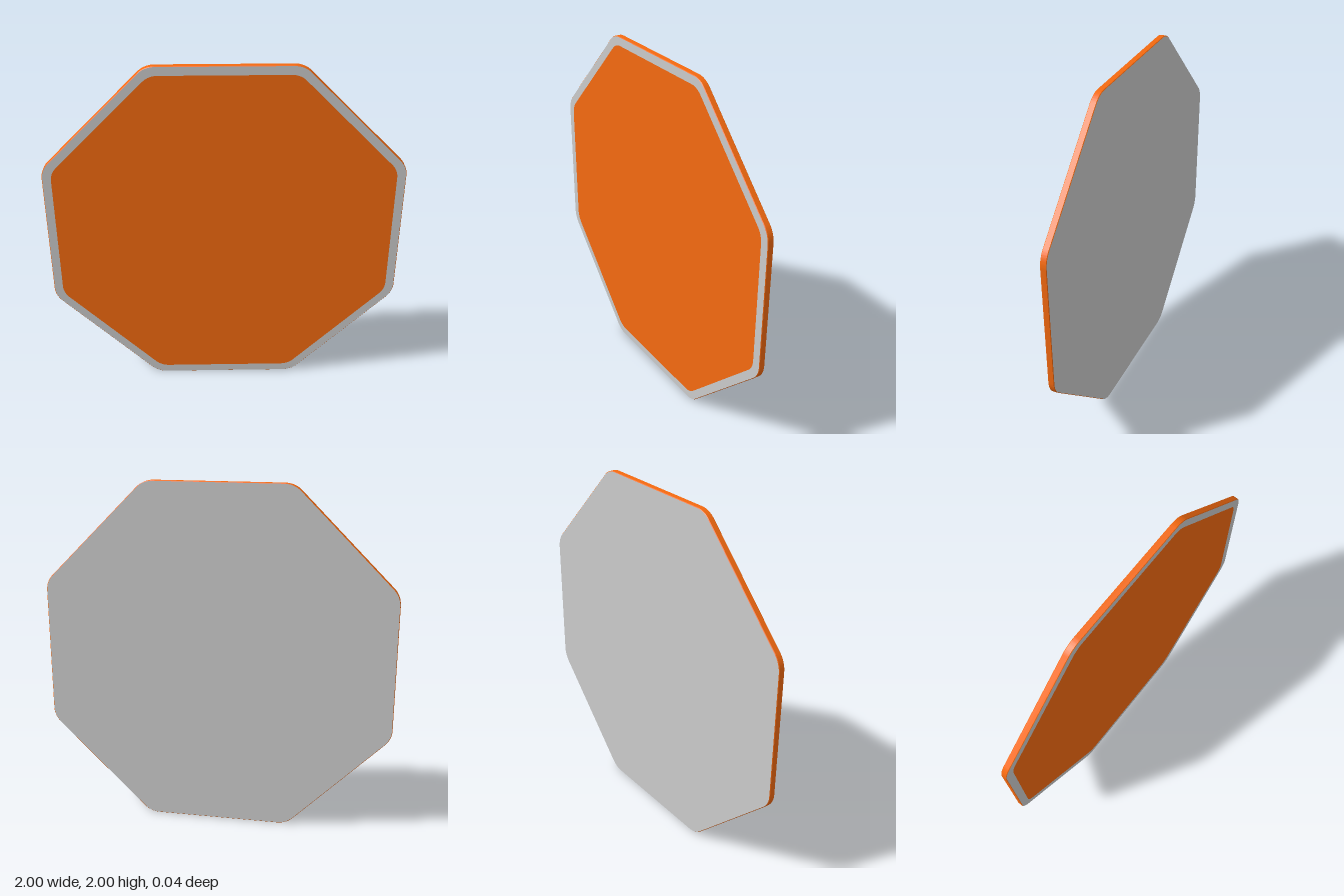
import * as THREE from 'three';
import { toCreasedNormals } from 'three/addons/utils/BufferGeometryUtils.js';

const THICKNESS = 0.035;
const BEVEL = 0.003;

// Regular octagon with flat sides up, given apothem and corner radius
function roundedOctagon(apothem, radius) {
  const shape = new THREE.Shape();
  const centre = (apothem - radius) / Math.cos(Math.PI / 8);
  for (let i = 0; i < 8; i++) {
    const a = (i + 0.5) * Math.PI / 4;
    shape.absarc(centre * Math.cos(a), centre * Math.sin(a), radius,
      a - Math.PI / 8, a + Math.PI / 8, false);
  }
  shape.closePath();
  return shape;
}

export function createModel() {
  const group = new THREE.Group();
  group.name = 'octagonalSign';
  const grey = new THREE.MeshStandardMaterial({ color: 0xcccccc });
  const orange = new THREE.MeshStandardMaterial({ color: 0xf56a10 });

  // Plate: grey front border and back, orange edge with a fine bevel
  const plateGeometry = new THREE.ExtrudeGeometry(roundedOctagon(1, 0.13), {
    depth: THICKNESS - 2 * BEVEL,
    bevelThickness: BEVEL,
    bevelSize: BEVEL,
    bevelOffset: -BEVEL,
    bevelSegments: 1,
    curveSegments: 8,
  });
  plateGeometry.translate(0, 1, -THICKNESS / 2 + BEVEL);
  const plate = new THREE.Mesh(toCreasedNormals(plateGeometry, Math.PI / 6), [grey, orange]);
  plate.name = 'plate';
  group.add(plate);

  // Orange field laid on the front, leaving the grey border showing
  const field = new THREE.Mesh(new THREE.ShapeGeometry(roundedOctagon(0.95, 0.11), 8), orange);
  field.name = 'frontField';
  field.position.set(0, 1, THICKNESS / 2 + 0.001);
  group.add(field);

  return group;
}
